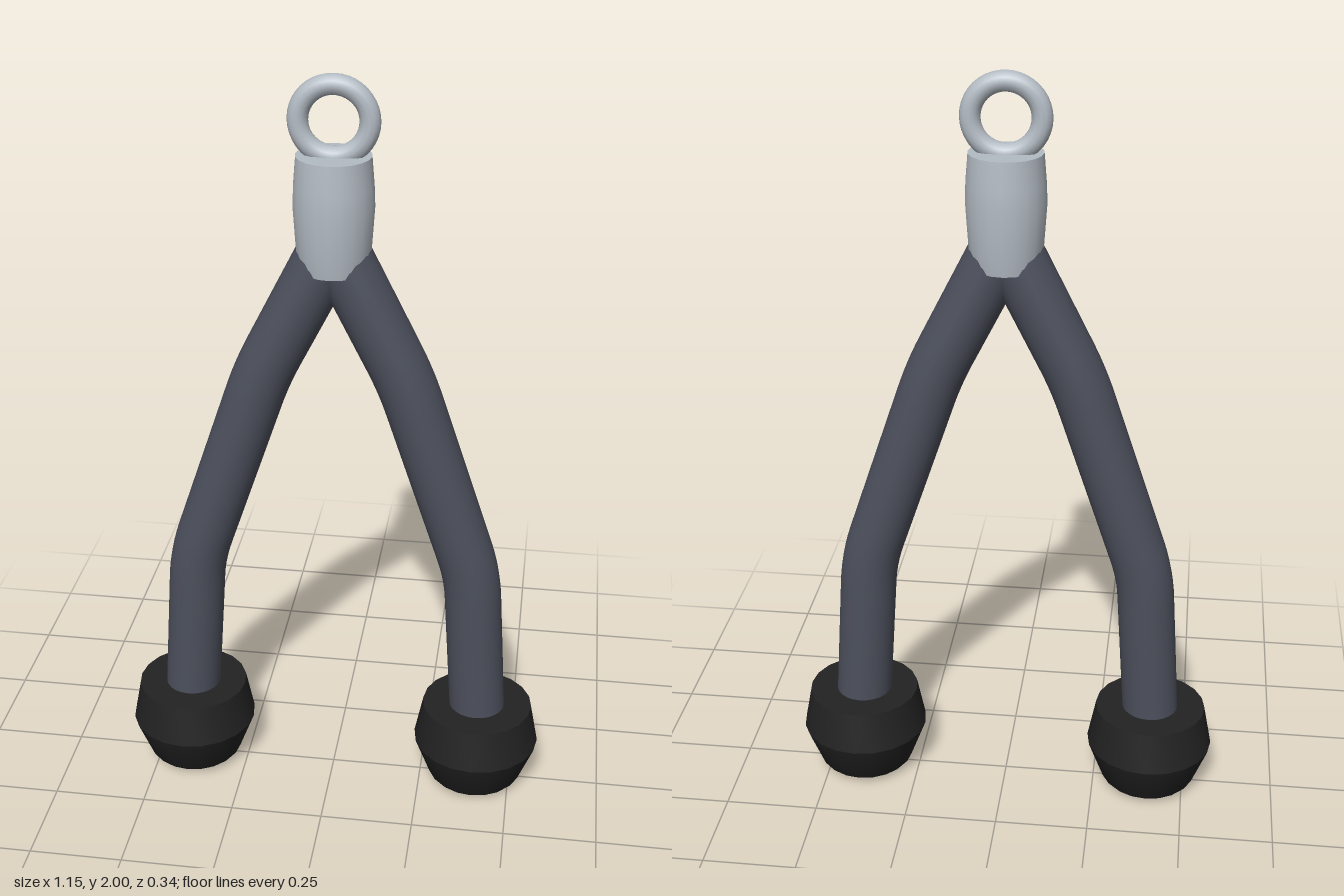
import * as THREE from 'three';
import { toCreasedNormals } from 'three/addons/utils/BufferGeometryUtils.js';

const steel = new THREE.MeshStandardMaterial({ color: 0xb4bcc4 });
steel.name = 'brushed steel';
const grip = new THREE.MeshStandardMaterial({ color: 0x4c505c });
grip.name = 'slate grip';
const rubber = new THREE.MeshStandardMaterial({ color: 0x222222 });
rubber.name = 'black rubber';

function add(parent, name, geometry, material) {
  const mesh = new THREE.Mesh(geometry, material);
  mesh.name = name;
  parent.add(mesh);
  return mesh;
}

// Turned solid from [radius, y] pairs, listed bottom to top
function turned(profile, sides) {
  const points = profile.map(([r, y]) => new THREE.Vector2(r, y));
  return toCreasedNormals(new THREE.LatheGeometry(points, sides), 0.5);
}

// Straight runs joined by short rounded bends
function bentPath(corners, bend) {
  const pts = corners.map(([x, y]) => new THREE.Vector3(x, y, 0));
  const path = new THREE.CurvePath();
  let start = pts[0];
  for (let i = 1; i < pts.length - 1; i++) {
    const before = pts[i].clone().add(pts[i - 1].clone().sub(pts[i]).setLength(bend));
    const after = pts[i].clone().add(pts[i + 1].clone().sub(pts[i]).setLength(bend));
    path.add(new THREE.LineCurve3(start, before));
    path.add(new THREE.QuadraticBezierCurve3(before, pts[i], after));
    start = after;
  }
  path.add(new THREE.LineCurve3(start, pts[pts.length - 1]));
  return path;
}

export function createModel() {
  const model = new THREE.Group();
  model.name = 'cableHandle';

  // Hanging ring
  const ring = add(model, 'ring', new THREE.TorusGeometry(0.087, 0.026, 12, 40), steel);
  ring.position.y = 1.887;

  // Barrel collar joining both arms
  add(model, 'collar', turned([
    [0, 1.515], [0.086, 1.515], [0.093, 1.56], [0.101, 1.68],
    [0.099, 1.73], [0.093, 1.803], [0, 1.803],
  ], 20), steel);

  // Mirrored arms, each with a rubber end stop
  for (const side of [1, -1]) {
    const arm = new THREE.Group();
    arm.name = side > 0 ? 'leftArm' : 'rightArm';
    const path = bentPath([
      [side * 0.405, 0.2], [side * 0.373, 0.665], [side * 0.185, 1.22], [0, 1.585],
    ], 0.07);
    add(arm, 'tube', new THREE.TubeGeometry(path, 60, 0.076, 24), grip);
    const stop = add(arm, 'endStop', turned([
      [0, 0], [0.122, 0.016], [0.13, 0.025], [0.172, 0.135], [0.15, 0.247], [0, 0.247],
    ], 20), rubber);
    stop.position.x = side * 0.403;
    model.add(arm);
  }
  return model;
}
